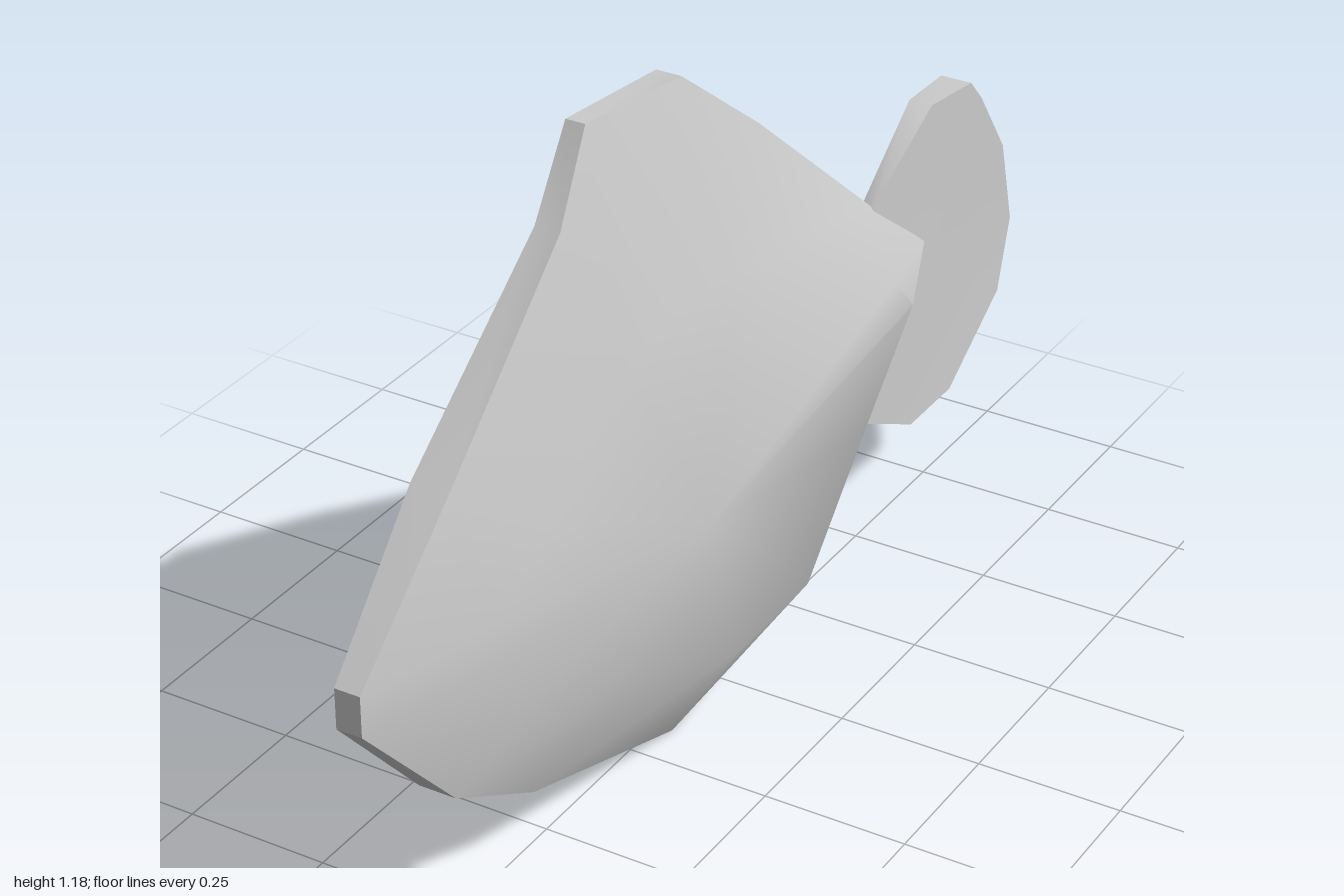
import * as THREE from 'three';
import { toCreasedNormals } from 'three/addons/utils/BufferGeometryUtils.js';

// Mirrored slab: each ring is a loop of [z, y, halfWidth], from the rim inwards,
// closed by a centre point on each side.
function bulgedSlab(rings, centre) {
  const pos = [];
  const put = (s, ...pts) => {
    for (const [z, y, x] of s > 0 ? pts : pts.reverse()) pos.push(s * x, y, z);
  };
  const n = rings[0].length;
  for (let i = 0; i < n; i++) {
    const j = (i + 1) % n;
    for (const s of [1, -1]) {
      for (let r = 0; r + 1 < rings.length; r++) {
        const a = rings[r], b = rings[r + 1];
        put(s, a[i], a[j], b[j]);
        put(s, a[i], b[j], b[i]);
      }
      const last = rings[rings.length - 1];
      put(s, centre, last[i], last[j]);
    }
    // narrow strip around the rim
    const p = rings[0][i], q = rings[0][j];
    const flip = ([z, y, x]) => [z, y, -x];
    put(1, p, flip(p), q);
    put(1, q, flip(p), flip(q));
  }
  const geo = new THREE.BufferGeometry();
  geo.setAttribute('position', new THREE.Float32BufferAttribute(pos, 3));
  return toCreasedNormals(geo, 0.7);
}

export function createModel() {
  const group = new THREE.Group();
  const material = new THREE.MeshStandardMaterial({ color: 0xcccccc });
  const add = (name, geometry) => {
    const mesh = new THREE.Mesh(geometry, material);
    mesh.name = name;
    group.add(mesh);
  };

  // Body: outline from the nose, along the belly to the tail tip and back over the top
  const rim = [
    [1, 0.55, 0.022], [1, 0.48, 0.022], [0.79, 0.25, 0.033], [0.59, 0.14, 0.038],
    [0.17, 0, 0.03], [-0.15, 0.05, 0.035], [-0.4, 0.28, 0.015], [-0.69, 0.5, 0.02],
    [-0.52, 0.64, 0.005], [-0.1, 0.98, 0.03], [0.12, 1.15, 0.022], [0.38, 1.18, 0.017],
    [0.46, 1.04, 0.022], [0.78, 0.77, 0.033],
  ];
  const flank = [
    [0.73, 0.54, 0.075], [0.73, 0.47, 0.075], [0.64, 0.36, 0.085], [0.45, 0.28, 0.11],
    [0.13, 0.165, 0.13], [-0.1, 0.165, 0.128], [-0.3, 0.35, 0.12], [-0.48, 0.5, 0.11],
    [-0.42, 0.57, 0.108], [-0.06, 0.8, 0.105], [0.12, 0.84, 0.105], [0.32, 0.84, 0.1],
    [0.4, 0.8, 0.1], [0.6, 0.64, 0.085],
  ];
  add('body', bulgedSlab([rim, flank], [0.25, 0.48, 0.155]));

  // Tail fin: flat plate thinning towards its root inside the body
  const fin = [
    [-0.4, 0.28], [-0.66, 0.15], [-0.79, 0.16], [-0.96, 0.28], [-1, 0.41],
    [-0.96, 0.57], [-0.87, 0.7], [-0.83, 0.745], [-0.7, 0.755], [-0.52, 0.64],
  ].map(([z, y]) => [z, y, THREE.MathUtils.mapLinear(Math.max(z, -0.85), -0.4, -0.85, 0.004, 0.03)]);
  add('tailFin', bulgedSlab([fin], [-0.72, 0.45, 0.019]));

  return group;
}
